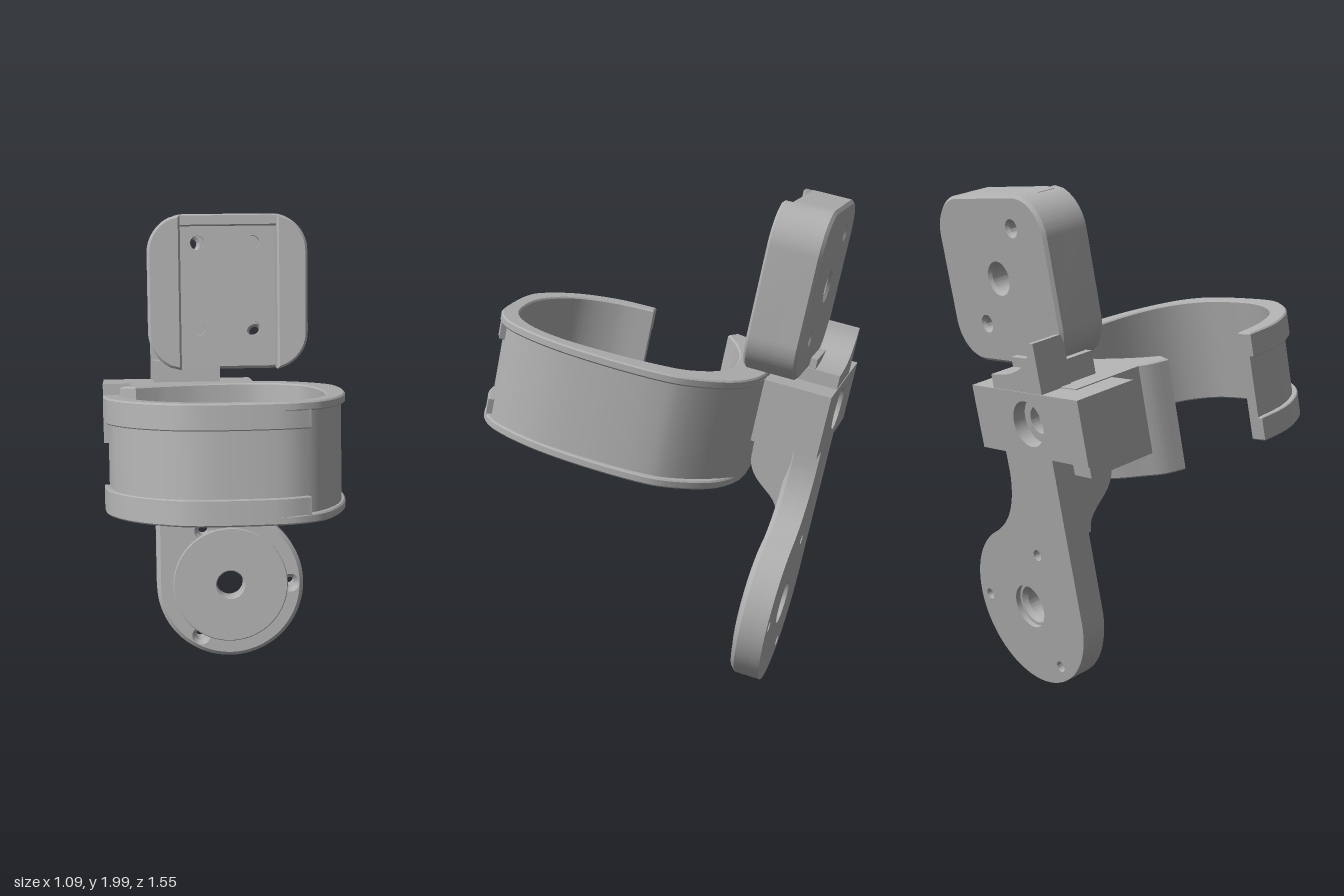
import * as THREE from 'three';
import { toCreasedNormals } from 'three/addons/utils/BufferGeometryUtils.js';

const V = (x, y) => new THREE.Vector2(x, y);

export function createModel() {
  const model = new THREE.Group();
  const body = new THREE.Group();
  body.name = 'tiltedAssembly';
  body.rotation.set(THREE.MathUtils.degToRad(-12), THREE.MathUtils.degToRad(-14), 0, 'YXZ');
  model.add(body);

  const grey = new THREE.MeshStandardMaterial({ color: 0xb0b0b0 });
  grey.name = 'plainGrey';

  // ---- helpers ----
  const extrude = (shape, depth, bevel) => new THREE.ExtrudeGeometry(shape, {
    depth: depth - 2 * bevel, bevelEnabled: bevel > 0, bevelThickness: bevel,
    bevelSize: bevel, bevelOffset: -bevel, bevelSegments: 1, curveSegments: 28,
  }).translate(0, 0, bevel);
  const add = (name, geometry) => {
    const mesh = new THREE.Mesh(toCreasedNormals(geometry, 0.45), grey);
    mesh.name = name;
    body.add(mesh);
  };
  // outline in x/y, pushed from z0 to z1
  const slab = (name, shape, z0, z1, bevel = 0) =>
    add(name, extrude(shape, z1 - z0, bevel).translate(0, 0, z0));
  // outline in x/-z, pushed from y0 to y1
  const band = (name, shape, y0, y1, bevel = 0) =>
    add(name, extrude(shape, y1 - y0, bevel).rotateX(-Math.PI / 2).translate(0, y0, 0));
  const hole = (shape, x, y, r) => {
    const p = new THREE.Path();
    p.absarc(x, y, r, 0, Math.PI * 2, true);
    shape.holes.push(p);
    return shape;
  };
  const rect = (x0, y0, x1, y1) => new THREE.Shape([V(x0, y0), V(x1, y0), V(x1, y1), V(x0, y1)]);

  // ---- open cuff: inner and outer outlines (x, z), paired along the front ----
  const inner = [
    [-0.403, 0.495], [-0.376, 0.646], [-0.3, 0.787], [-0.18, 0.878], [-0.035, 0.916], [0.145, 0.904],
    [0.258, 0.855], [0.342, 0.758], [0.388, 0.609], [0.393, 0.397], [0.364, 0.194], [0.315, 0.105],
    [0.226, 0.034], [0.117, 0.005], [-0.064, 0.024], [-0.198, 0.067], [-0.27, 0.1], [-0.339, 0.14],
  ].map(([x, z]) => V(x, -z));
  const outer = [
    [-0.468, 0.501], [-0.449, 0.665], [-0.37, 0.815], [-0.25, 0.92], [-0.109, 0.973], [0.166, 0.966],
    [0.295, 0.922], [0.38, 0.833], [0.451, 0.657], [0.482, 0.448], [0.48, 0.228], [0.444, 0.1],
    [0.332, -0.04], [0.181, -0.112], [0.01, -0.125], [-0.184, -0.1], [-0.31, -0.015], [-0.372, 0.04],
    [-0.405, 0.115],
  ].map(([x, z]) => V(x, -z));
  // recessed outer wall, returning to full thickness at the back
  const recessed = outer.map((p, i) => (i < 13 ? p.clone().lerp(inner[i], i < 8 ? 0.3 : 0.2) : p.clone()));
  const strip = (a, b) => {
    const s = new THREE.Shape();
    const back = [...b].reverse();
    s.moveTo(a[0].x, a[0].y);
    s.splineThru(a.slice(1));
    s.lineTo(back[0].x, back[0].y);
    s.splineThru(back.slice(1));
    s.closePath();
    return s;
  };
  band('cuffWall', strip(recessed, inner), 0.92, 1.33);
  band('cuffLowerRim', strip(outer, inner), 0.9, 0.935, 0.006);
  band('cuffUpperRim', strip(outer, inner), 1.315, 1.35, 0.006);
  const mid = outer.slice(0, 7).map((p, i) => p.clone().lerp(inner[i], 0.6));
  const lip = strip(outer.slice(0, 7), mid);
  band('cuffLowerLip', lip, 0.902, 1.0, 0.004);
  band('cuffUpperLip', lip, 1.25, 1.348, 0.004);

  // ---- stem joining cuff to clamp ----
  slab('cuffStem', rect(-0.36, 1.0, 0.0, 1.349), -0.31, 0.0);

  // ---- clamp block with counterbored hole ----
  const block = () => rect(-0.48, 1.09, 0.17, 1.345);
  slab('clampBlockBack', hole(block(), -0.155, 1.22, 0.09), -0.405, -0.35);
  slab('clampBlockFront', hole(block(), -0.155, 1.22, 0.055), -0.35, -0.135);

  // ---- lower arm with round foot ----
  const cx = 0.07, cy = 0.424, R = 0.33;
  const foot = (bore) => {
    const s = new THREE.Shape();
    s.moveTo(cx - R, 1.1);
    s.lineTo(cx - R, cy);
    s.absarc(cx, cy, R, Math.PI, Math.PI * 2 + 1.134, false);
    s.quadraticCurveTo(0.045, 0.8, 0.03, 1.0);
    s.lineTo(0.03, 1.1);
    s.closePath();
    hole(s, cx, cy, bore);
    for (const deg of [0, 116, 240]) {
      const a = THREE.MathUtils.degToRad(deg);
      hole(s, cx + 0.27 * Math.cos(a), cy + 0.27 * Math.sin(a), 0.023);
    }
    return s;
  };
  slab('armBack', foot(0.09), -0.402, -0.36);
  slab('armFront', foot(0.06), -0.38, -0.28, 0.018);
  const disc = new THREE.Shape();
  disc.absarc(cx, cy, 0.258, 0, Math.PI * 2);
  slab('footDisc', hole(disc, cx, cy, 0.062), -0.285, -0.268, 0.004);

  // arm thickens in a curve towards the clamp (outline in -z / y)
  const ramp = new THREE.Shape();
  ramp.moveTo(0.3, 0.76);
  ramp.lineTo(0.281, 0.76);
  ramp.bezierCurveTo(0.28, 0.86, 0.14, 0.86, 0.13, 0.98);
  ramp.lineTo(0.13, 1.44);
  ramp.lineTo(0.3, 1.44);
  ramp.closePath();
  add('armNeck', extrude(ramp, 0.285, 0).rotateY(Math.PI / 2).translate(cx - R, 0, 0));

  // hooked top of the arm behind the upper bracket
  const hook = new THREE.Shape();
  hook.moveTo(-0.27, 1.34);
  hook.lineTo(0.03, 1.34);
  hook.lineTo(0.03, 1.4);
  hook.quadraticCurveTo(-0.21, 1.4, -0.245, 1.54);
  hook.lineTo(-0.27, 1.54);
  hook.closePath();
  slab('armHook', hook, -0.402, -0.26);

  // ---- upper bracket: rounded back plate with a channel open at the bottom ----
  const x0 = -0.28, x1 = 0.4, y0 = 1.4, y1 = 2.06, r = 0.16, inL = -0.17, inR = 0.27;
  const bracketOutline = () => {
    const s = new THREE.Shape();
    s.absarc(x1 - r, y0 + r, r, -Math.PI / 2, 0);
    s.absarc(x1 - r, y1 - r, r, 0, Math.PI / 2);
    s.absarc(x0 + r, y1 - r, r, Math.PI / 2, Math.PI);
    s.absarc(x0 + r, y0 + r, r, Math.PI, Math.PI * 1.5);
    return s;
  };
  const plate = bracketOutline();
  hole(plate, 0.05, 1.74, 0.055);
  hole(plate, -0.088, 1.935, 0.024);
  hole(plate, 0.182, 1.555, 0.024);
  slab('bracketBack', plate, -0.273, -0.17, 0.012);

  // flange following the rounded outline on one side
  const cut = Math.acos((inR - (x1 - r)) / r);
  const flange = (mirror) => {
    const pts = [];
    for (let i = 0; i <= 12; i++) {
      const a = -cut + (cut * i) / 12;
      pts.push(V(x1 - r + r * Math.cos(a), y0 + r + r * Math.sin(a)));
    }
    for (let i = 0; i <= 12; i++) {
      const a = (cut * i) / 12;
      pts.push(V(x1 - r + r * Math.cos(a), y1 - r + r * Math.sin(a)));
    }
    return new THREE.Shape(mirror ? pts.map((p) => V(x0 + x1 - p.x + 0.01 * (p.x < x1 - 0.1), p.y)) : pts);
  };
  slab('bracketLeftFlange', flange(false), -0.255, -0.065, 0.01);
  slab('bracketRightFlange', flange(true), -0.255, -0.065, 0.01);
  const rim = new THREE.Shape();
  rim.moveTo(inL - 0.01, 2.01);
  rim.lineTo(inR + 0.01, 2.01);
  rim.absarc(x1 - r, y1 - r, r, Math.PI * 0.42, Math.PI / 2);
  rim.absarc(x0 + r, y1 - r, r, Math.PI / 2, Math.PI * 0.6);
  rim.closePath();
  slab('bracketTopRim', rim, -0.255, -0.1, 0.006);

  const pad = rect(-0.15, 1.43, 0.25, 2.01);
  for (const x of [-0.065, 0.17]) for (const y of [1.575, 1.94]) hole(pad, x, y, 0.03);
  slab('mountingPad', pad, -0.175, -0.13);

  return model;
}
